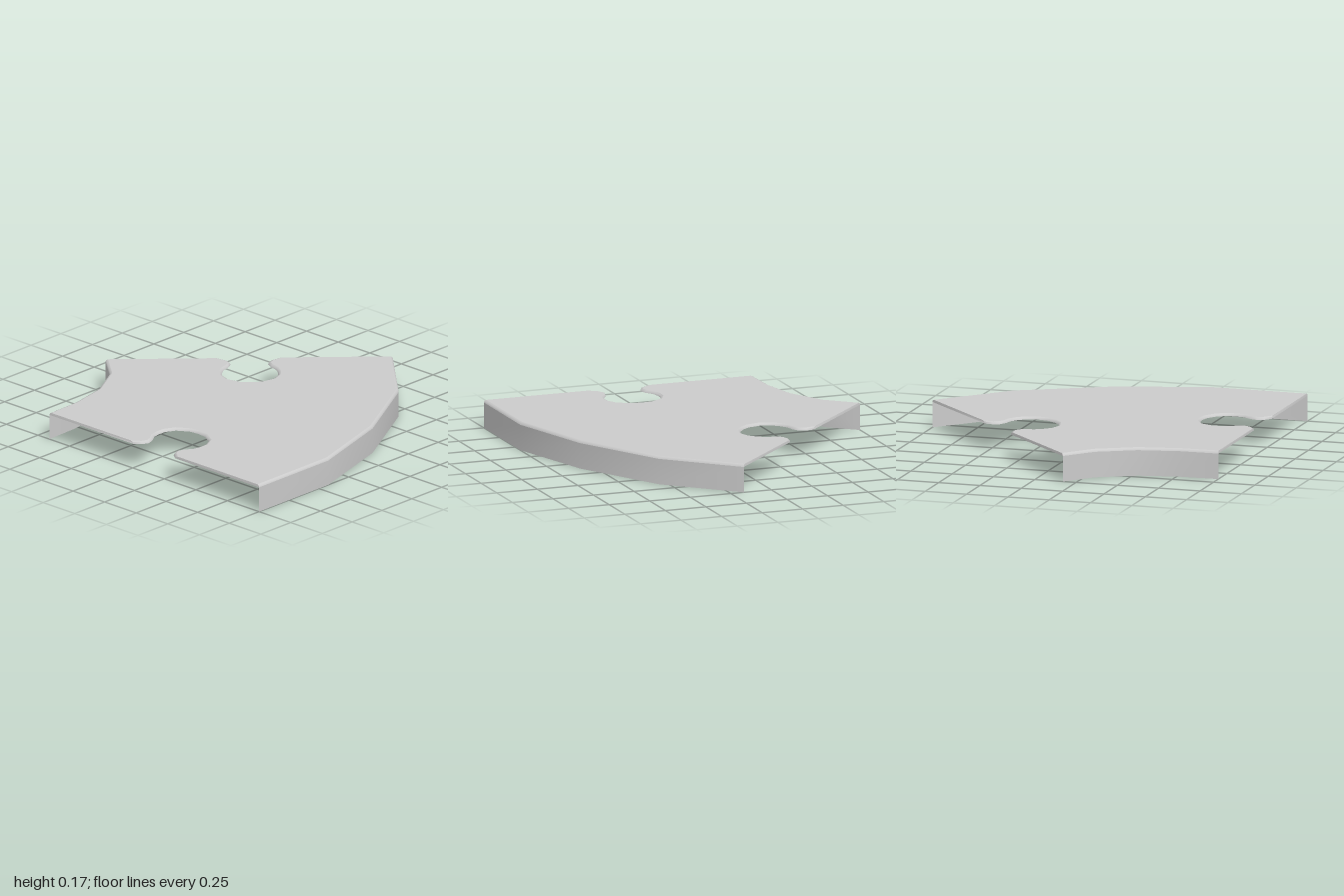
import * as THREE from 'three';
import { toCreasedNormals } from 'three/addons/utils/BufferGeometryUtils.js';

const TOP = 0.165, LIP = 0.15;

// All plan points are [x, z]
const innerArc = [[-0.17, -1], [-0.31, -0.835], [-0.53, -0.715], [-0.77, -0.667], [-1, -0.66]];
const outerArc = [[-1, 1], [-0.42, 1], [0.12, 0.84], [0.64, 0.555], [1, 0.17]];

// Half of the keyhole notch, completed by mirroring about z = 0.17
const halfNotch = [[-1, 0.004], [-0.97, 0.044], [-0.93, 0.062], [-0.885, 0.048], [-0.84, 0.018],
  [-0.79, 0.008], [-0.74, 0.01], [-0.68, 0.04], [-0.637, 0.11]];
const notch = [...halfNotch, [-0.63, 0.17], ...halfNotch.map(([x, z]) => [x, 0.34 - z]).reverse()];

// Mirror across the centre line of the 45 degree wedge
const S = Math.SQRT1_2;
const mirror = ([x, z]) => {
  const dx = x + 1, dz = z + 1.83;
  return [-1 + S * (dz - dx), -1.83 + S * (dx + dz)];
};
const farNotch = notch.map(mirror).reverse();

// Closed outline; the straight cut edges get only a tiny bevel
const outline = [], straight = [];
const addRun = (run, endsStraight) => run.forEach((p, i) => {
  outline.push(p);
  straight.push(endsStraight && i === run.length - 1);
});
for (const run of [notch, outerArc, farNotch, innerArc]) addRun(run, true);

// Move every outline edge inward and intersect neighbouring edges
function inset(curved, cut) {
  const n = outline.length;
  const edge = (i) => {
    const a = outline[i], b = outline[(i + 1) % n];
    const dx = b[0] - a[0], dz = b[1] - a[1], len = Math.hypot(dx, dz);
    return { nx: dz / len, nz: -dx / len, d: straight[i] ? cut : curved };
  };
  return outline.map(([x, z], i) => {
    const e = edge((i + n - 1) % n), f = edge(i);
    const det = e.nx * f.nz - e.nz * f.nx;
    if (Math.abs(det) < 0.01) return [x + f.nx * f.d, z + f.nz * f.d];
    return [x + (e.d * f.nz - f.d * e.nz) / det, z + (f.d * e.nx - e.d * f.nx) / det];
  });
}

// Sheet lofted through rows of plan points, from the lowest row up
function loft(rows) {
  const pos = [], index = [], n = rows[0].pts.length;
  rows.forEach(({ pts, y }) => pts.forEach(([x, z]) => pos.push(x, y, z)));
  for (let r = 0; r < rows.length - 1; r++) {
    for (let i = 0; i < n - 1; i++) {
      const a = r * n + i, b = a + 1, c = b + n, d = a + n;
      index.push(a, b, c, a, c, d);
    }
  }
  const g = new THREE.BufferGeometry();
  g.setAttribute('position', new THREE.Float32BufferAttribute(pos, 3));
  g.setIndex(index);
  g.computeVertexNormals();
  return g;
}

export function createModel() {
  const group = new THREE.Group();
  const material = new THREE.MeshStandardMaterial({ color: 0xcccccc, side: THREE.DoubleSide });
  const add = (name, geometry) => {
    const mesh = new THREE.Mesh(geometry, material);
    mesh.name = name;
    group.add(mesh);
  };
  const close = (pts) => [...pts, pts[0]];

  // Flat top plate
  const topPts = inset(0.015, 0.002);
  const shape = new THREE.Shape(topPts.map(([x, z]) => new THREE.Vector2(x, -z)));
  add('topPlate', new THREE.ShapeGeometry(shape).rotateX(-Math.PI / 2).translate(0, TOP, 0));

  // Rounded rim around the whole plate
  const rim = loft([
    { pts: close(outline), y: LIP },
    { pts: close(inset(0.0045, 0.001)), y: TOP - 0.0045 },
    { pts: close(topPts), y: TOP },
  ]);
  add('rim', toCreasedNormals(rim, 0.9));

  // Thin walls under the two curved edges
  for (const [name, arc] of [['outerWall', outerArc], ['innerWall', innerArc]]) {
    add(name, loft([{ pts: arc, y: 0 }, { pts: arc, y: LIP }]));
  }
  return group;
}
